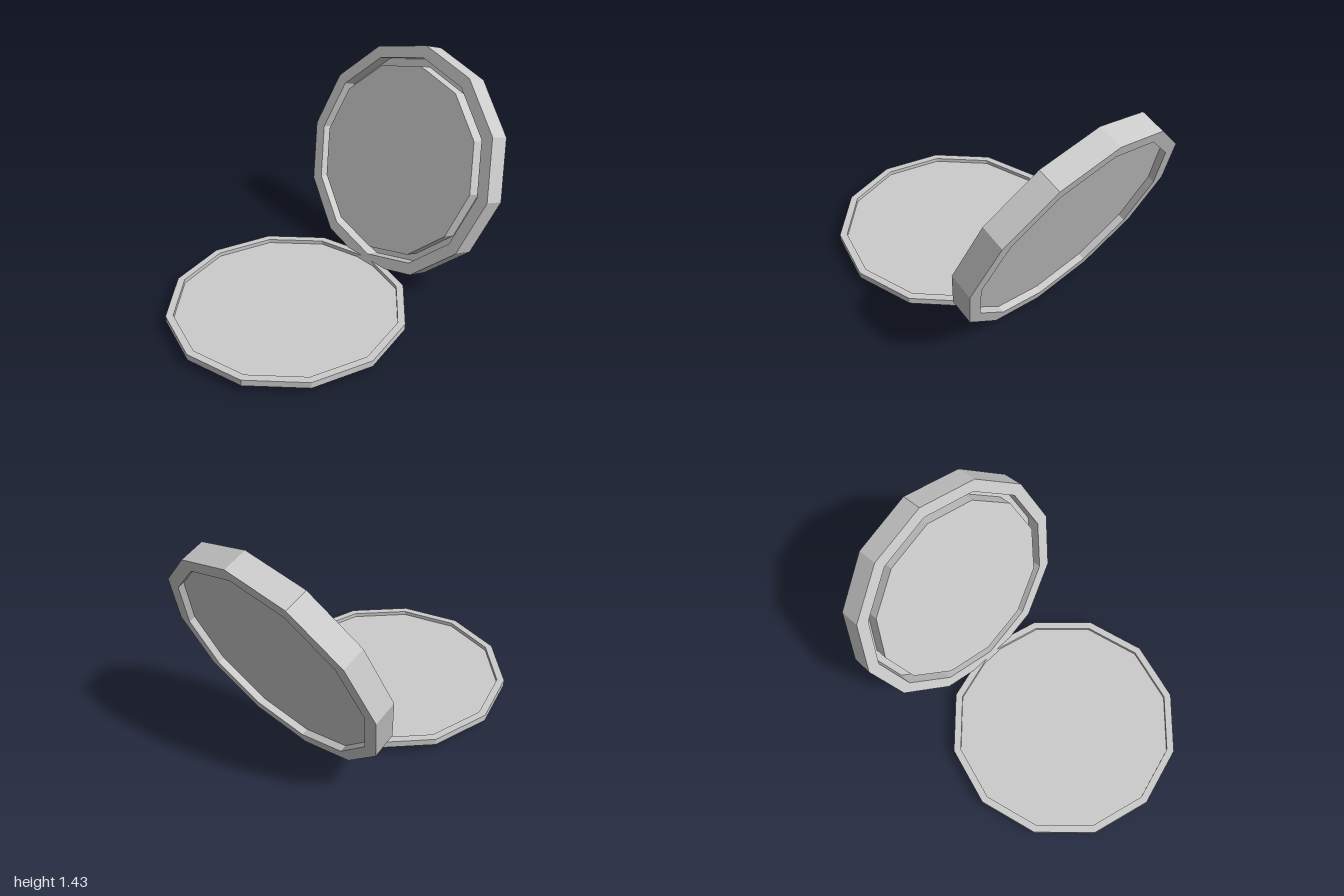
import * as THREE from 'three';

const SIDES = 12;
const material = new THREE.MeshStandardMaterial({ color: 0xcccccc, flatShading: true });

// Twelve-sided solid turned from a [radius, height] profile, listed bottom to top
function turned(name, profile) {
  const points = profile.map(([r, y]) => new THREE.Vector2(r, y));
  const mesh = new THREE.Mesh(new THREE.LatheGeometry(points, SIDES), material);
  mesh.name = name;
  return mesh;
}

export function createModel() {
  const model = new THREE.Group();
  model.name = 'compactCase';
  const R = 0.73;

  // Flat tray with a shallow recess inside a narrow lip
  const tray = turned('tray', [
    [0, 0], [R, 0], [R, 0.04], [0.685, 0.04], [0.685, 0.015], [0, 0.015],
  ]);
  tray.position.set(0, 0.05, 0.27);
  model.add(tray);

  // Raised, tilted half; its local y = 0 is the front face
  const upright = new THREE.Group();
  upright.name = 'uprightCase';
  upright.position.set(0, 0.738, -0.626);
  upright.rotation.x = THREE.MathUtils.degToRad(71);
  model.add(upright);

  // Rim with a recessed back and a deep front well
  upright.add(turned('caseRim', [
    [0, -0.103], [0.655, -0.103], [0.655, -0.145], [R, -0.145],
    [R, 0], [0.655, 0], [0.655, -0.09], [0, -0.09],
  ]));

  // Raised panel filling the well, leaving a groove around it
  upright.add(turned('innerPanel', [[0.603, -0.09], [0.603, 0], [0, 0]]));

  return model;
}
